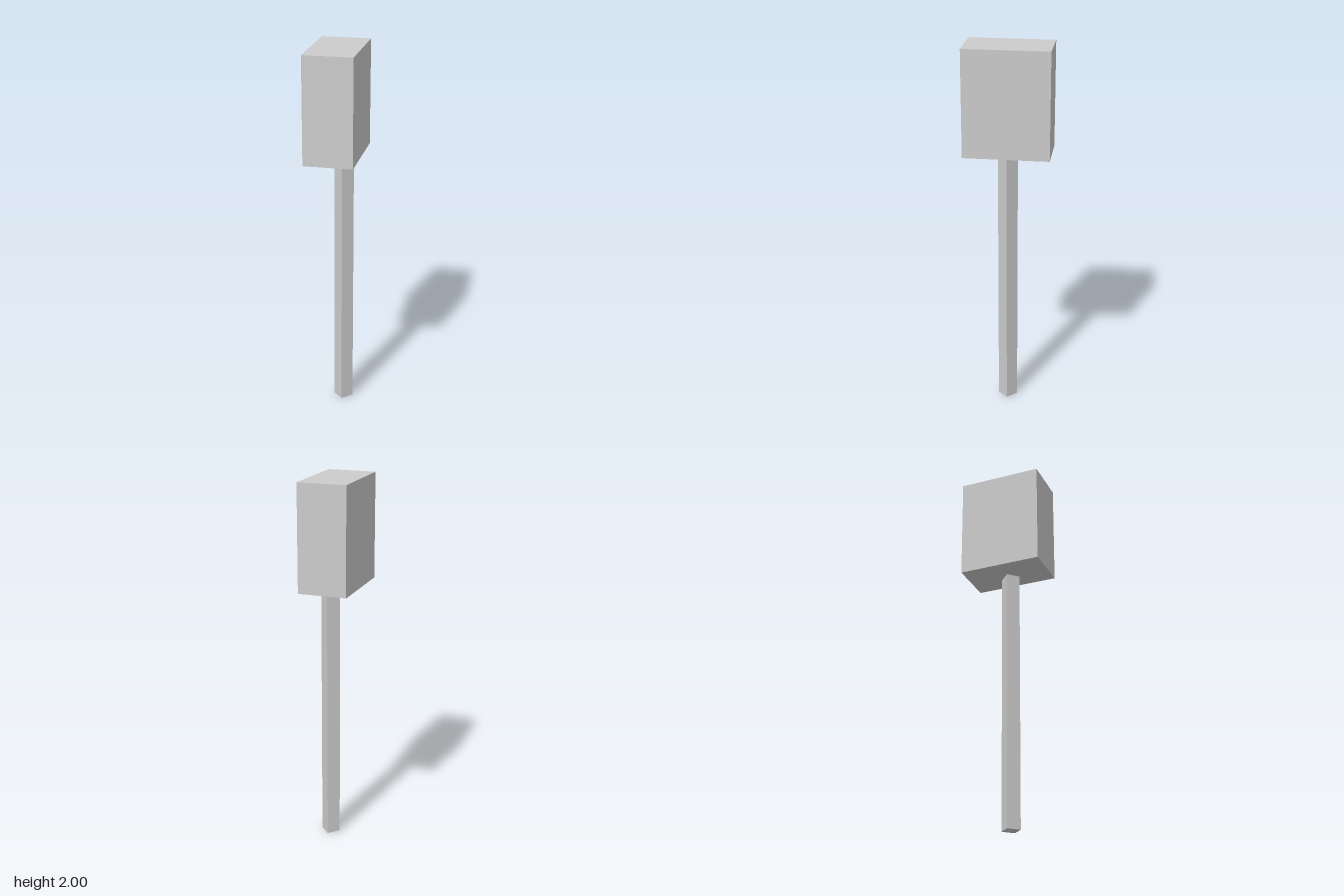
import * as THREE from 'three';

export function createModel() {
  const group = new THREE.Group();
  const material = new THREE.MeshStandardMaterial({ color: 0xcccccc, flatShading: true });

  const addBox = (name, [w, h, d], [x, y, z], turn = 0) => {
    const mesh = new THREE.Mesh(new THREE.BoxGeometry(w, h, d), material);
    mesh.name = name;
    mesh.position.set(x, y, z);
    mesh.rotation.y = turn;
    group.add(mesh);
  };

  // Upright box at the top
  addBox('headBox', [0.26, 0.566, 0.452], [0, 1.717, 0]);

  // Square post, turned corner-on and set slightly to one side
  addBox('post', [0.074, 1.434, 0.074], [0.037, 0.717, 0], Math.PI / 4);

  return group;
}
